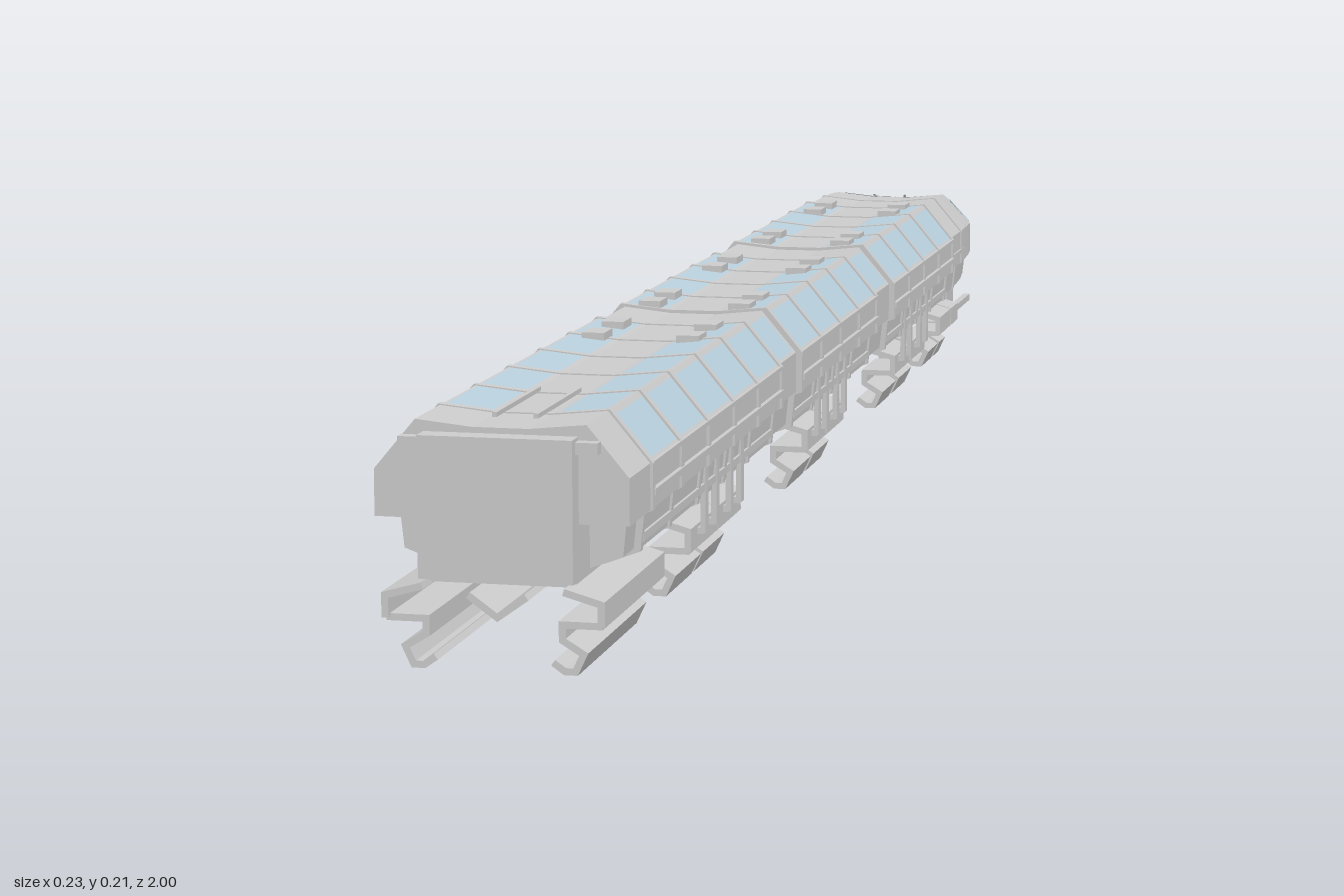
import * as THREE from 'three';

const paint = (color) => new THREE.MeshStandardMaterial({ color, side: THREE.DoubleSide });
const GREY = paint(0xcccccc), GLASS = paint(0xb9d0de);

// Hull stations: z, half width, roof, upper belt, lower belt, floor
const STATIONS = [
  [1, 0.105, 0.203, 0.162, 0.122, 0.078], [-0.77, 0.105, 0.203, 0.162, 0.122, 0.078],
  [-0.82, 0.104, 0.202, 0.162, 0.122, 0.079], [-0.86, 0.102, 0.199, 0.161, 0.122, 0.08],
  [-0.90, 0.098, 0.192, 0.158, 0.122, 0.083], [-0.935, 0.092, 0.181, 0.153, 0.121, 0.088],
  [-0.965, 0.084, 0.168, 0.148, 0.121, 0.097], [-0.985, 0.077, 0.154, 0.142, 0.121, 0.106],
  [-1, 0.07, 0.14, 0.134, 0.122, 0.116],
];

// Half cross-section from roof centre to floor centre, grown outward by g
function profileAt(z, g = 0) {
  let i = 0;
  while (i < STATIONS.length - 2 && z < STATIONS[i + 1][0]) i++;
  const a = STATIONS[i], b = STATIONS[i + 1], t = (z - a[0]) / (b[0] - a[0]);
  let [w, top, hi, lo, bot] = [1, 2, 3, 4, 5].map((k) => a[k] + (b[k] - a[k]) * t);
  const dip = 0.005 * (top - lo) / 0.08;
  w += g; top += g * 0.5; bot -= g * 0.5;
  return [[0, top - dip], [w * 0.22, top - dip], [w * 0.67, top], [w, hi], [w, lo],
    [w * 0.93, lo - 0.003], [w * 0.9, bot + (lo - bot) * 0.25], [w * 0.62, bot], [0, bot]];
}

function add(group, name, geometry, material = GREY) {
  const m = new THREE.Mesh(geometry, material);
  m.name = name;
  group.add(m);
  return m;
}

function box(group, name, w, h, d, x, y, z, material) {
  add(group, name, new THREE.BoxGeometry(w, h, d), material).position.set(x, y, z);
}

// Surface patch over facet k of the hull, on side s
function patch(group, name, s, z0, z1, k, t0, t1, g, n, material) {
  const pos = [], idx = [];
  for (let i = 0; i <= n; i++) {
    const z = z0 + (z1 - z0) * i / n, p = profileAt(z, g);
    for (const t of [t0, t1]) {
      pos.push(s * (p[k][0] + (p[k + 1][0] - p[k][0]) * t), p[k][1] + (p[k + 1][1] - p[k][1]) * t, z);
    }
    if (i < n) {
      const a = 2 * i;
      idx.push(...(s * (z1 - z0) > 0 ? [a, a + 2, a + 1, a + 1, a + 2, a + 3] : [a, a + 1, a + 2, a + 1, a + 3, a + 2]));
    }
  }
  const geo = new THREE.BufferGeometry();
  geo.setAttribute('position', new THREE.Float32BufferAttribute(pos, 3));
  geo.setIndex(idx);
  geo.computeVertexNormals();
  add(group, name, geo, material);
}

function outline(z, g) {
  const h = profileAt(z, g);
  const left = h.slice(1, -1).reverse().map(([x, y]) => [-x, y]);
  return new THREE.Shape([...h, ...left].map(([x, y]) => new THREE.Vector2(x, y)));
}

// Straight run of hull between z0 < z1
function run(group, name, z0, z1, g) {
  const geo = new THREE.ExtrudeGeometry(outline(0, g), { depth: z1 - z0, bevelEnabled: false });
  add(group, name, geo.translate(0, 0, z0));
}

// Bent sheet: a polyline given thickness and extruded along z
function bentSheet(group, name, pts, thick, z0, z1, s = 1) {
  const v = pts.map(([x, y]) => new THREE.Vector2(s * x, y));
  const sides = [[], []];
  v.forEach((p, i) => {
    const d0 = p.clone().sub(v[Math.max(i - 1, 0)]).normalize();
    const d1 = v[Math.min(i + 1, v.length - 1)].clone().sub(p).normalize();
    const d = d0.clone().add(d1).normalize();
    const cos = Math.max(0.5, d.dot(d1.lengthSq() ? d1 : d0));
    const n = new THREE.Vector2(-d.y, d.x).multiplyScalar(thick / 2 / cos);
    sides[0].push(p.clone().add(n));
    sides[1].unshift(p.clone().sub(n));
  });
  const geo = new THREE.ExtrudeGeometry(new THREE.Shape([...sides[0], ...sides[1]]), { depth: z1 - z0, bevelEnabled: false });
  add(group, name, geo.translate(0, 0, z0));
}

const BRACKET = [[0.06, 0.071], [0.092, 0.062], [0.092, 0.043]];
const HOOK = [[0.092, 0.043], [0.058, 0.043], [0.058, 0.03], [0.076, 0.019], [0.069, 0.004], [0.06, 0.004], [0.05, 0.011]];
const VEE = [[-0.025, 0.062], [0, 0.044], [0.025, 0.062]];

// Levitation skid pair hanging below the floor
function skid(parent, z0, z1, struts) {
  const g = new THREE.Group();
  g.name = 'skid';
  parent.add(g);
  const mid = (z0 + z1) / 2;
  for (const s of [-1, 1]) {
    bentSheet(g, 'skidBracket', BRACKET, 0.006, z0 - 0.004, z1 + 0.004, s);
    bentSheet(g, 'skidHook', HOOK, 0.006, z0, z1, s);
    box(g, 'skidRail', 0.006, 0.02, z1 - z0, s * 0.092, 0.053, mid);
    if (!struts) continue;
    for (const dz of [-0.022, 0.022]) {
      box(g, 'strut', 0.005, 0.066, 0.012, s * 0.1, 0.089, mid + dz);
      box(g, 'strutFoot', 0.012, 0.006, 0.012, s * 0.095, 0.058, mid + dz);
    }
  }
  bentSheet(g, 'guideVee', VEE, 0.006, z0 + 0.01, z1 - 0.01);
  box(g, 'crossMember', 0.13, 0.008, (z1 - z0) * 0.8, 0, 0.074, mid);
}

export function createModel() {
  const train = new THREE.Group();
  train.name = 'train';

  // Inner hull, joined to the tapered nose
  run(train, 'hull', -0.77, 0.94, 0);
  for (const s of [-1, 1]) for (let k = 0; k < 8; k++) patch(train, 'noseSkin', s, -0.77, -1, k, 0, 1, 0, 46);
  const tip = new THREE.ShapeGeometry(outline(-1, 0)).rotateY(Math.PI);
  add(train, 'noseTip', tip.translate(0, 0, -1));

  // Wider window sections with ribs between panes
  const sections = [[-0.68, -0.26, 4], [-0.15, 0.27, 4], [0.37, 0.90, 5]];
  for (const [z0, z1, n] of sections) {
    const car = new THREE.Group();
    car.name = 'cabinSection';
    train.add(car);
    run(car, 'shell', z0, z1, 0.004);
    const step = (z1 - z0) / n;
    for (let i = 0; i <= n; i++) run(car, 'rib', z0 + i * step - 0.004, z0 + i * step + 0.004, 0.0065);
    for (const s of [-1, 1]) {
      for (let i = 0; i < n; i++) {
        const a = z0 + i * step + 0.008, b = a + step - 0.016;
        patch(car, 'sideWindow', s, a, b, 2, 0.1, 0.92, 0.0052, 1, GLASS);
        patch(car, 'roofWindow', s, a, b, 1, 0.1, 0.92, 0.0052, 1, GLASS);
      }
      box(car, 'sideRail', 0.005, 0.006, z1 - z0, s * 0.1105, 0.137, (z0 + z1) / 2);
      box(car, 'beltRail', 0.004, 0.004, z1 - z0, s * 0.1095, 0.161, (z0 + z1) / 2);
      box(car, 'skirtRail', 0.006, 0.007, z1 - z0, s * 0.099, 0.098, (z0 + z1) / 2);
    }
  }

  // Windows in the narrow links between sections
  for (const [a, b] of [[-0.245, -0.165], [0.285, 0.355]]) {
    for (const s of [-1, 1]) patch(train, 'linkWindow', s, a, b, 2, 0.1, 0.92, 0.0012, 1, GLASS);
  }

  // Cockpit glass, split by mullions
  for (const s of [-1, 1]) {
    patch(train, 'windshield', s, -0.875, -0.96, 0, 0.14, 1, 0.0025, 8, GLASS);
    patch(train, 'windshield', s, -0.875, -0.96, 1, 0, 0.92, 0.0025, 8, GLASS);
    patch(train, 'lowerWindshield', s, -0.968, -0.994, 0, 0.14, 1, 0.0025, 4, GLASS);
    patch(train, 'lowerWindshield', s, -0.968, -0.994, 1, 0, 0.92, 0.0025, 4, GLASS);
    patch(train, 'cockpitSideWindow', s, -0.875, -0.928, 2, 0.1, 0.9, 0.002, 6, GLASS);
    patch(train, 'cockpitSideWindow', s, -0.936, -0.985, 2, 0.1, 0.9, 0.002, 6, GLASS);
    // Raised roof lines
    const wiper = new THREE.LineCurve3(new THREE.Vector3(s * 0.004, 0.176, -0.935), new THREE.Vector3(s * 0.02, 0.197, -0.85));
    add(train, 'wiper', new THREE.TubeGeometry(wiper, 1, 0.002, 5));
    box(train, 'roofRail', 0.004, 0.004, 0.14, s * 0.018, 0.203, 0.86);
    box(train, 'noseSideRail', 0.004, 0.005, 0.11, s * 0.105, 0.137, -0.735);
  }
  for (const z of [-0.775, -0.685]) run(train, 'noseRib', z - 0.003, z + 0.003, 0.002);

  // Paired roof vents
  for (const z of [0.48, 0.405, 0.255, 0.19, -0.03, -0.105, -0.28, -0.345, -0.585, -0.655]) {
    for (const s of [-1, 1]) box(train, 'roofVent', 0.022, 0.008, 0.032, s * 0.046, 0.205, z);
  }

  // Tail collar and end door
  const collar = outline(0, 0.004);
  const upper = new THREE.Shape(collar.getPoints().filter((p) => p.y > 0.12));
  add(train, 'tailCollar', new THREE.ExtrudeGeometry(upper, { depth: 0.075, bevelEnabled: false }).translate(0, 0, 0.9));
  box(train, 'endDoor', 0.132, 0.12, 0.06, 0, 0.135, 0.965);
  box(train, 'tailLip', 0.17, 0.01, 0.012, 0, 0.187, 0.98);

  // Skids along the underside
  for (const [a, b] of [[0.59, 0.69], [0.49, 0.58], [0.07, 0.16], [-0.03, 0.055], [-0.45, -0.36], [-0.56, -0.47], [-0.757, -0.685]]) skid(train, a, b, a > -0.6);
  skid(train, -0.815, -0.77, false);
  skid(train, 0.8, 1, false);

  // Nose guides running forward, stepped to a point
  bentSheet(train, 'noseVee', VEE, 0.006, -0.93, -0.8);
  for (const s of [-1, 1]) {
    box(train, 'noseGuide', 0.008, 0.008, 0.13, s * 0.088, 0.056, -0.875);
    box(train, 'noseGuideStep', 0.02, 0.012, 0.07, s * 0.075, 0.042, -0.84);
    box(train, 'noseGuideMount', 0.02, 0.034, 0.05, s * 0.07, 0.072, -0.85);
  }
  return train;
}
